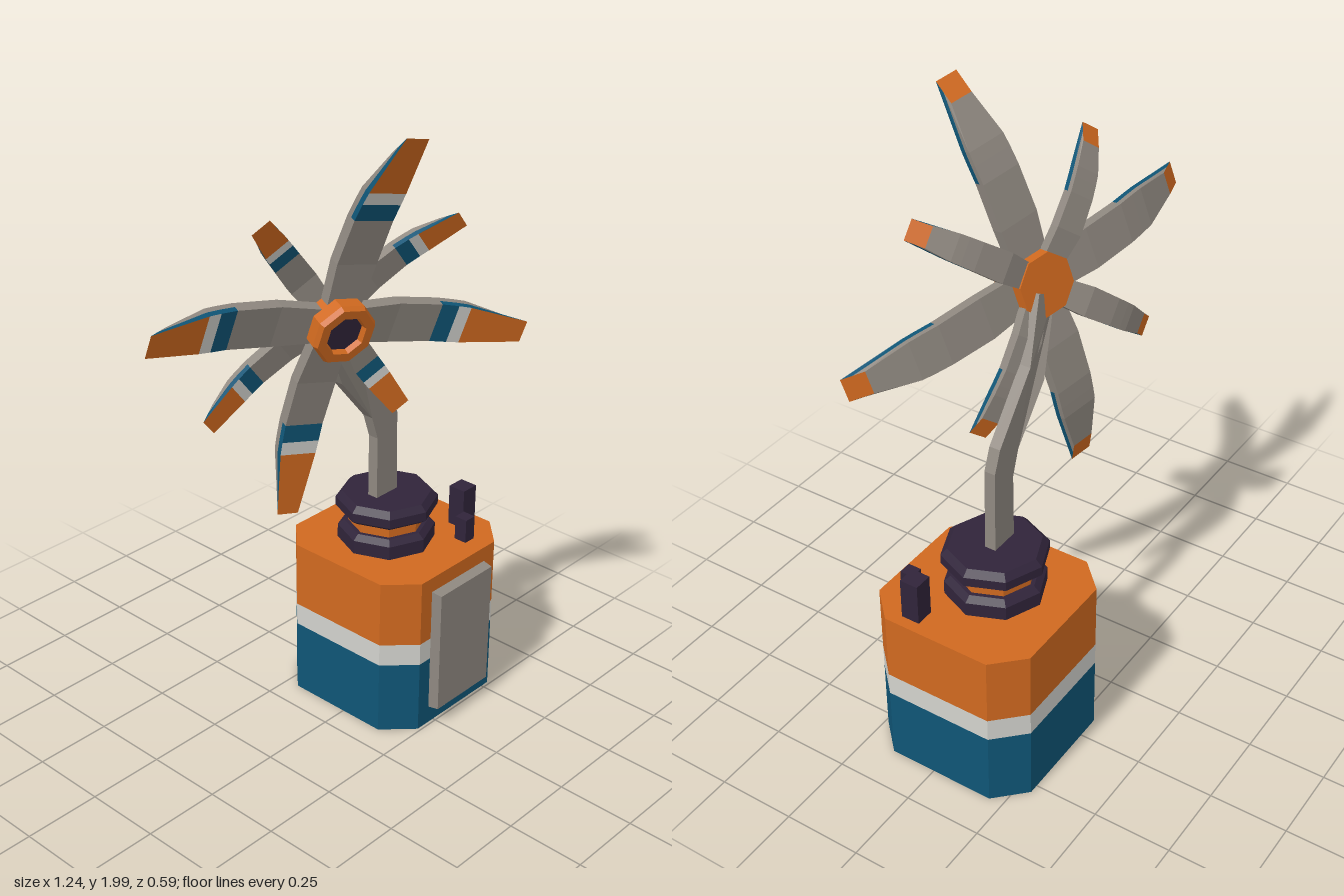
import * as THREE from 'three';

const mat = (name, color) => new THREE.MeshStandardMaterial({
  name, color, flatShading: true, side: THREE.DoubleSide });

export function createModel() {
  const orange = mat('orange', 0xd0691f), white = mat('offWhite', 0xd2d2cd);
  const teal = mat('teal', 0x0f5576), grey = mat('warmGrey', 0x8f8880);
  const dark = mat('darkPlum', 0x30243a);
  const model = new THREE.Group();
  model.name = 'potFlower';

  const add = (name, geometry, material, parent = model, x = 0, y = 0, z = 0) => {
    const mesh = new THREE.Mesh(geometry, material);
    mesh.name = name;
    mesh.position.set(x, y, z);
    parent.add(mesh);
    return mesh;
  };

  // Mesh from quads: each entry is [material, a, b, c, d], counter-clockwise
  const quadMesh = (name, quads, parent) => {
    const mats = [...new Set(quads.map(q => q[0]))];
    const pos = [], geo = new THREE.BufferGeometry();
    mats.forEach((m, i) => {
      const start = pos.length / 3;
      for (const [qm, a, b, c, d] of quads)
        if (qm === m) pos.push(...a, ...b, ...c, ...a, ...c, ...d);
      geo.addGroup(start, pos.length / 3 - start, i);
    });
    geo.setAttribute('position', new THREE.Float32BufferAttribute(pos, 3));
    geo.computeVertexNormals();
    return add(name, geo, mats, parent);
  };

  // Pot: chamfered square shell in three bands, open underneath
  const px = 0.353, pz = -0.027, s = 0.267, c = 0.177;
  const corners = [[c, s], [s, c], [s, -c], [c, -s], [-c, -s], [-s, -c], [-s, c], [-c, s]]
    .map(([x, z]) => [x + px, z + pz]);
  const band = (name, material, y0, y1) => quadMesh(name, corners.map(([x, z], i) => {
    const [x2, z2] = corners[(i + 1) % 8];
    return [material, [x, y0, z], [x2, y0, z2], [x2, y1, z2], [x, y1, z]];
  }), model);
  band('potLowerBand', teal, 0.005, 0.25);
  band('potMiddleBand', white, 0.25, 0.325);
  band('potUpperBand', orange, 0.325, 0.545);
  const lid = new THREE.ShapeGeometry(new THREE.Shape(
    corners.map(([x, z]) => new THREE.Vector2(x, -z))));
  add('potTop', lid.rotateX(-Math.PI / 2), orange, model, 0, 0.545, 0);

  // Front panel with bevelled rim, reaching through the wall
  const panel = new THREE.BoxGeometry(0.265, 0.44, 0.075);
  const pp = panel.attributes.position;
  for (let i = 0; i < pp.count; i++)
    if (pp.getZ(i) > 0) pp.setXY(i, pp.getX(i) * 0.93, pp.getY(i) * 0.955);
  add('frontPanel', panel, grey, model, 0.353, 0.28, 0.2375);

  // Stacked octagonal collar
  const lathe = (name, pts, material, parent, x, y, z) => add(name,
    new THREE.LatheGeometry(pts.map(p => new THREE.Vector2(...p)), 8), material, parent, x, y, z);
  lathe('collarLower', [[0.155, 0], [0.155, 0.045], [0.135, 0.062], [0, 0.062]],
    dark, model, 0.325, 0.545, -0.037);
  lathe('collarMiddle', [[0.122, 0], [0.122, 0.05]], orange, model, 0.325, 0.6, -0.037);
  lathe('collarUpper', [[0, 0], [0.14, 0], [0.162, 0.016], [0.162, 0.046], [0.142, 0.066], [0, 0.066]],
    dark, model, 0.325, 0.645, -0.037);

  // Square posts on the pot top
  add('tallPost', new THREE.BoxGeometry(0.06, 0.135, 0.06), dark, model, 0.555, 0.6125, 0.085);
  add('shortPost', new THREE.BoxGeometry(0.042, 0.08, 0.044), dark, model, 0.481, 0.585, 0.157);

  // Flat bent stem, its top end leaning forward into the hub
  const outline = [[0.262, 0.7], [0.262, 0.92], [0.235, 1.0], [0.1, 1.16], [-0.02, 1.37],
    [0.06, 1.41], [0.17, 1.24], [0.325, 1.05], [0.352, 0.98], [0.358, 0.7]];
  const stem = new THREE.ExtrudeGeometry(
    new THREE.Shape(outline.map(p => new THREE.Vector2(...p)).reverse()),
    { depth: 0.036, bevelEnabled: false });
  const sp = stem.attributes.position;
  for (let i = 0; i < sp.count; i++)
    sp.setZ(i, sp.getZ(i) - (sp.getY(i) > 1.3 ? 0.018 : 0.06));
  stem.computeVertexNormals();
  add('stem', stem, grey);

  // Flower head, facing forward, down and to its right
  const head = new THREE.Group();
  head.name = 'flowerHead';
  head.position.set(0, 1.405, 0.04);
  head.quaternion.setFromUnitVectors(new THREE.Vector3(0, 0, 1),
    new THREE.Vector3(-0.3, -0.235, 0.92).normalize());
  model.add(head);

  const hub = new THREE.Group();
  hub.name = 'hub';
  hub.rotation.set(Math.PI / 2, 0.25, 0);
  head.add(hub);
  lathe('hubBody', [[0, -0.063], [0.095, -0.063], [0.1, 0.05], [0.092, 0.066],
    [0.064, 0.066], [0.056, 0.04]], orange, hub, 0, 0, 0);
  lathe('hubCentre', [[0.062, 0.048], [0, 0.048]], dark, hub, 0, 0, 0);

  // Petal along +x; station: [radius, half width, front height, front material to the next]
  const petal = (name, stations, thick, angle) => {
    const quads = [], last = stations.length - 1;
    const rings = stations.map(([r, w, h], i) => [0, 0.5, 1].map(t => {
      const x = r - (i === last ? thick * 1.6 * t : 0);   // slanted tip
      return [[x, -w, h - thick * t], [x, w, h - thick * t]];
    }));
    for (let i = 0; i < last; i++) {
      const [f, m, b] = rings[i], [F, M, B] = rings[i + 1];
      const front = stations[i][3], edge = front === grey ? grey : teal;
      quads.push([front, f[0], F[0], F[1], f[1]], [grey, b[1], B[1], B[0], b[0]],
        [edge, f[1], F[1], M[1], m[1]], [grey, m[1], M[1], B[1], b[1]],
        [edge, m[0], M[0], F[0], f[0]], [grey, b[0], B[0], M[0], m[0]]);
    }
    const [f, , b] = rings[last];
    quads.push([orange, b[0], b[1], f[1], f[0]]);
    quadMesh(name, quads, head).rotation.z = THREE.MathUtils.degToRad(angle);
  };
  const long = [[0.04, 0.055, 0.012, grey], [0.2, 0.066, 0.006, grey], [0.345, 0.064, 0.014, teal],
    [0.4, 0.063, 0.024, white], [0.44, 0.061, 0.032, orange], [0.63, 0.036, 0.077]];
  const short = [[0.04, 0.036, -0.015, grey], [0.16, 0.045, -0.042, grey], [0.265, 0.042, -0.04, teal],
    [0.31, 0.041, -0.033, white], [0.34, 0.04, -0.027, orange], [0.465, 0.031, 0]];
  for (let i = 0; i < 4; i++) {
    petal('longPetal' + (i + 1), long, 0.038, 81 + i * 90);
    petal('shortPetal' + (i + 1), short, 0.032, 38.5 + i * 90);
  }
  return model;
}
